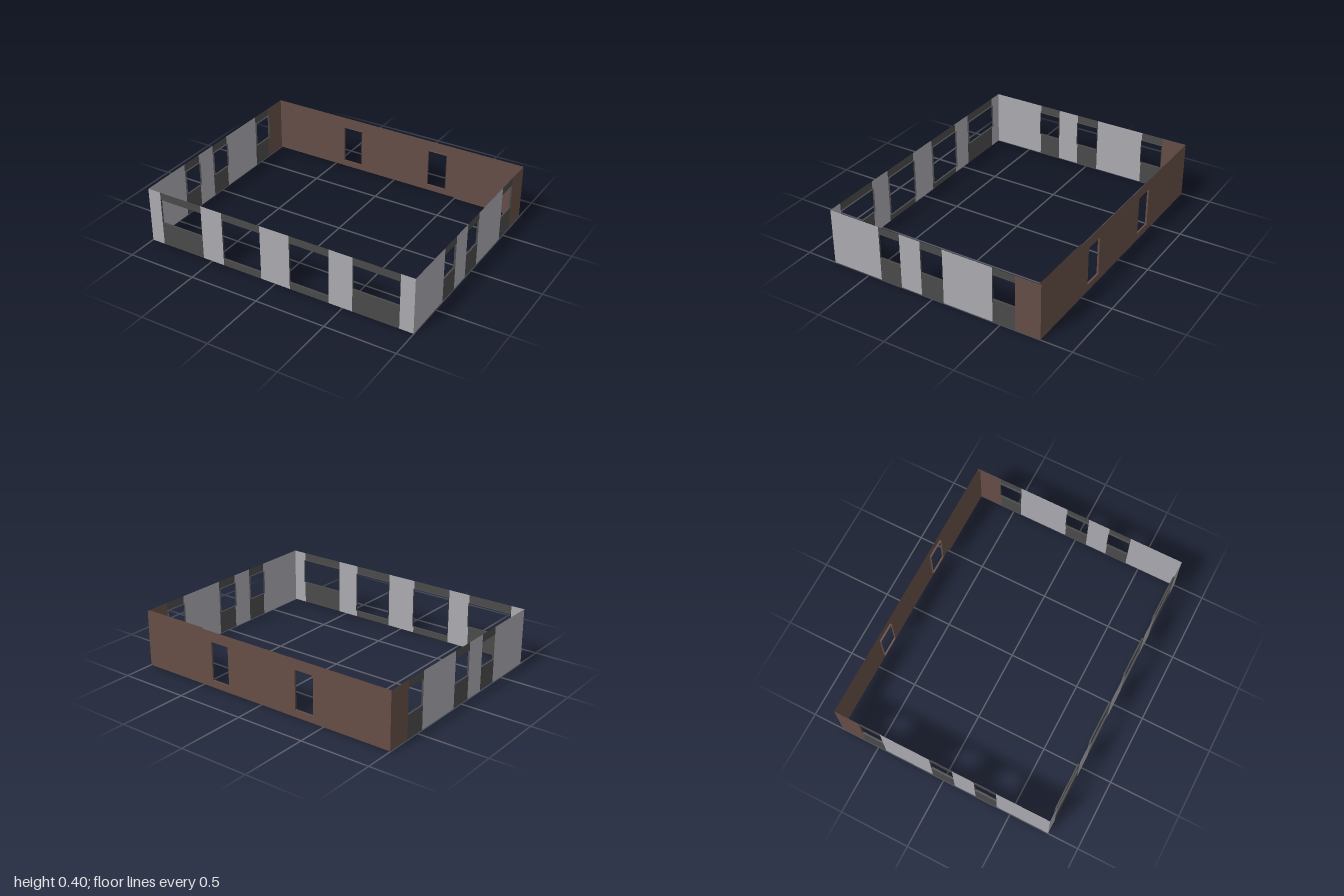
import * as THREE from 'three';

const HEIGHT = 0.4, HALF_X = 0.998, HALF_Z = 0.782, REVEAL = 0.013;

const material = (name, color) => {
  const m = new THREE.MeshStandardMaterial({ color, side: THREE.DoubleSide });
  m.name = name;
  return m;
};

// Flat upright panel from (x0, y0) to (x1, y1) in the wall's own plane
function panel(name, x0, x1, y0, y1, mat) {
  const mesh = new THREE.Mesh(new THREE.PlaneGeometry(x1 - x0, y1 - y0), mat);
  mesh.position.set((x0 + x1) / 2, (y0 + y1) / 2, 0);
  mesh.name = name;
  return mesh;
}

// Shallow lining around an opening, running inward from the wall plane
function lining(x0, x1, y0, y1, mat) {
  const group = new THREE.Group();
  group.name = 'openingLining';
  const cx = (x0 + x1) / 2, cy = (y0 + y1) / 2;
  for (const s of [-1, 1]) {
    const jamb = new THREE.Mesh(new THREE.PlaneGeometry(REVEAL, y1 - y0), mat);
    jamb.rotation.y = -s * Math.PI / 2;
    jamb.position.set(s < 0 ? x0 : x1, cy, -REVEAL / 2);
    jamb.name = 'jamb';
    const ledge = new THREE.Mesh(new THREE.PlaneGeometry(x1 - x0, REVEAL), mat);
    ledge.rotation.x = s * Math.PI / 2;
    ledge.position.set(cx, s < 0 ? y0 : y1, -REVEAL / 2);
    ledge.name = s < 0 ? 'sillLedge' : 'headLedge';
    group.add(jamb, ledge);
  }
  return group;
}

// A wall is a row of bays: { from, to, mat } plus open: [bottom, top] if pierced
function wall(name, bays, angle, distance) {
  const group = new THREE.Group();
  group.name = name;
  for (const { from, to, mat, open } of bays) {
    if (!open) {
      group.add(panel('wallPanel', from, to, 0, HEIGHT, mat));
      continue;
    }
    group.add(panel('sillPanel', from, to, 0, open[0], mat));
    group.add(panel('lintelPanel', from, to, open[1], HEIGHT, mat));
    group.add(lining(from, to, open[0], open[1], mat));
  }
  group.rotation.y = angle;
  group.position.set(Math.sin(angle) * distance, 0, Math.cos(angle) * distance);
  return group;
}

export function createModel() {
  const grey = material('greyRender', 0xaaaab0);
  const dark = material('darkPanel', 0x4a4a4a);
  const brown = material('brownCladding', 0x654d46);
  const model = new THREE.Group();
  model.name = 'storeyWalls';

  const windowOpen = [0.167, 0.345], tallOpen = [0.05, 0.345], doorOpen = [0.05, 0.325];
  const bay = (from, to, mat, open) => ({ from, to, mat, open });

  // Front: two windows outside, two tall openings inside
  model.add(wall('frontWall', [
    bay(-HALF_X, -0.9, grey),
    bay(-0.9, -0.57, dark, windowOpen),
    bay(-0.57, -0.405, grey),
    bay(-0.405, -0.11, dark, tallOpen),
    bay(-0.11, 0.11, grey),
    bay(0.11, 0.4, dark, tallOpen),
    bay(0.4, 0.57, grey),
    bay(0.57, 0.9, dark, windowOpen),
    bay(0.9, HALF_X, grey),
  ], 0, HALF_Z));

  // Back: brown wall with two doorways
  model.add(wall('backWall', [
    bay(-HALF_X, -0.42, brown),
    bay(-0.42, -0.277, brown, doorOpen),
    bay(-0.277, 0.277, brown),
    bay(0.277, 0.42, brown, doorOpen),
    bay(0.42, HALF_X, brown),
  ], Math.PI, HALF_Z));

  // Sides: listed from front to back, mirrored for the other side
  const sideBays = [
    bay(-HALF_Z, -0.4, grey),
    bay(-0.4, -0.24, dark, windowOpen),
    bay(-0.24, -0.083, grey),
    bay(-0.083, 0.083, dark, windowOpen),
    bay(0.083, 0.443, grey),
    bay(0.443, 0.603, dark, windowOpen),
    bay(0.603, HALF_Z, brown),
  ];
  const mirrored = sideBays.map(b => ({ ...b, from: -b.to, to: -b.from }));
  model.add(wall('leftWall', sideBays, Math.PI / 2, HALF_X));
  model.add(wall('rightWall', mirrored, -Math.PI / 2, HALF_X));

  // Second skin just inside one end of the back wall
  const skin = panel('innerBackPanel', 0.5, HALF_X, 0, HEIGHT, brown);
  skin.position.z = -0.768;
  model.add(skin);

  return model;
}
